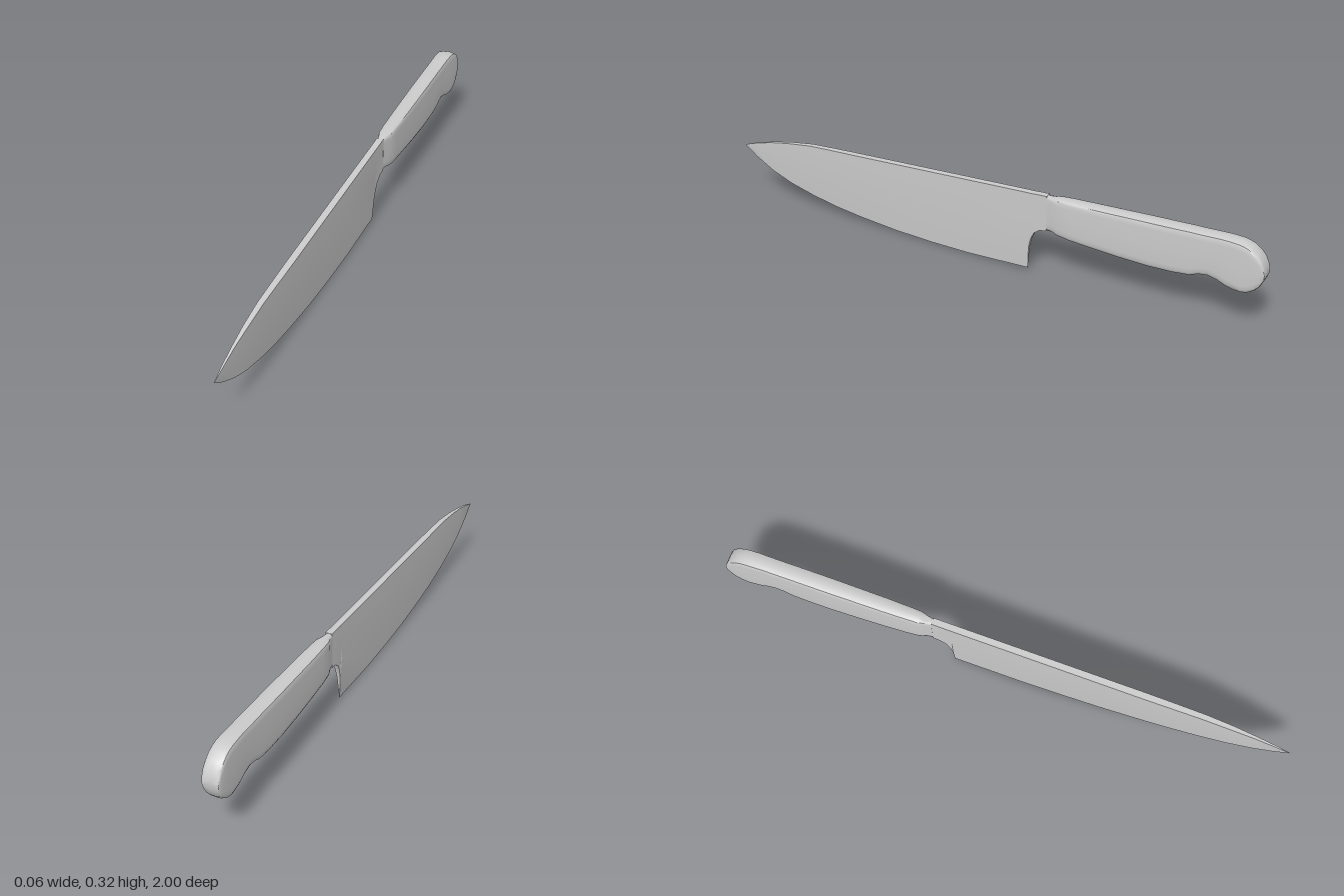
import * as THREE from 'three';
import { toCreasedNormals } from 'three/addons/utils/BufferGeometryUtils.js';

const material = new THREE.MeshStandardMaterial({ color: 0xcccccc, side: THREE.DoubleSide });

// Skin a list of closed rings (running from front to back) and cap both ends.
function loft(rings, crease) {
  const n = rings[0].length;
  const index = [];
  for (let i = 0; i < rings.length - 1; i++) {
    for (let j = 0; j < n; j++) {
      const a = i * n + j, b = i * n + (j + 1) % n;
      index.push(a, b, a + n, b, b + n, a + n);
    }
  }
  const last = (rings.length - 1) * n;
  for (let j = 1; j < n - 1; j++) {
    index.push(0, j + 1, j, last, last + j, last + j + 1);
  }
  const geometry = new THREE.BufferGeometry();
  geometry.setAttribute('position', new THREE.Float32BufferAttribute(rings.flat(2), 3));
  geometry.setIndex(index);
  return toCreasedNormals(geometry, crease);
}

// Mirror a half outline [x, y], listed top to bottom on +x, into a ring at z.
function mirrorRing(half, z) {
  const left = half.slice().reverse().map(([x, y]) => [-x, y, z]);
  return [...half.map(([x, y]) => [x, y, z]), ...left].reverse();
}

// Blade: z, spine height, lower outline, spine half width
const bladeStations = [
  [1.0, 0.196, 0.194, 0.0005], [0.95, 0.213, 0.157, 0.003], [0.88, 0.232, 0.117, 0.005],
  [0.8, 0.248, 0.085, 0.008], [0.7, 0.262, 0.058, 0.01], [0.6, 0.267, 0.038, 0.011],
  [0.5, 0.271, 0.024, 0.012], [0.35, 0.277, 0.009, 0.012], [0.2, 0.283, 0.002, 0.012],
  [0.05, 0.289, 0, 0.012], [-0.18, 0.298, 0.008, 0.012], [-0.184, 0.298, 0.09, 0.012],
  [-0.192, 0.298, 0.125, 0.012], [-0.205, 0.299, 0.152, 0.012], [-0.225, 0.3, 0.168, 0.012],
  [-0.25, 0.301, 0.172, 0.012],
];

function bladeRing([z, top, bottom, w]) {
  // The wedge keeps its slope where the heel is cut away.
  const edge = z < -0.18 ? 0.008 : bottom;
  const halfWidth = (y) => {
    const t = (y - edge) / (top - edge);
    return w * (t < 0.55 ? 0.02 + t * 1.6 : 0.9 + (t - 0.55) / 4.5);
  };
  const levels = [top, bottom + (top - bottom) * 0.55, bottom];
  return mirrorRing(levels.map((y) => [halfWidth(y), y]), z);
}

// Handle: z, top, bottom, half width
const handleStations = [
  [-0.25, 0.301, 0.172, 0.012], [-0.27, 0.302, 0.172, 0.016], [-0.295, 0.304, 0.166, 0.024],
  [-0.34, 0.306, 0.16, 0.026], [-0.42, 0.308, 0.155, 0.028], [-0.52, 0.311, 0.149, 0.029],
  [-0.62, 0.314, 0.146, 0.03], [-0.7, 0.316, 0.148, 0.03], [-0.76, 0.318, 0.154, 0.03],
  [-0.79, 0.318, 0.166, 0.03], [-0.82, 0.319, 0.17, 0.03], [-0.85, 0.32, 0.163, 0.03],
  [-0.88, 0.32, 0.151, 0.031], [-0.91, 0.318, 0.144, 0.031], [-0.93, 0.314, 0.142, 0.031],
  [-0.95, 0.306, 0.147, 0.031], [-0.97, 0.291, 0.159, 0.031], [-0.985, 0.273, 0.176, 0.03],
  [-0.995, 0.25, 0.197, 0.029], [-1.0, 0.232, 0.212, 0.027],
];

function handleRing([z, top, bottom, w]) {
  const k = Math.min(1, (top - bottom) / 0.13);
  const half = [
    [0.02, top], [0.6, top - 0.003 * k], [0.9, top - 0.006 * k], [0.98, top - 0.013 * k],
    [1, top - 0.026 * k], [1, (top + bottom) / 2], [0.98, bottom + 0.03 * k],
    [0.93, bottom + 0.015 * k], [0.8, bottom + 0.006 * k], [0.45, bottom + 0.001 * k],
    [0.02, bottom],
  ];
  return mirrorRing(half.map(([x, y]) => [x * w, y]), z);
}

export function createModel() {
  const knife = new THREE.Group();
  knife.name = 'kitchenKnife';

  const blade = new THREE.Mesh(loft(bladeStations.map(bladeRing), 0.4), material);
  blade.name = 'blade';

  const handle = new THREE.Mesh(loft(handleStations.map(handleRing), 0.9), material);
  handle.name = 'handle';

  knife.add(blade, handle);
  return knife;
}
